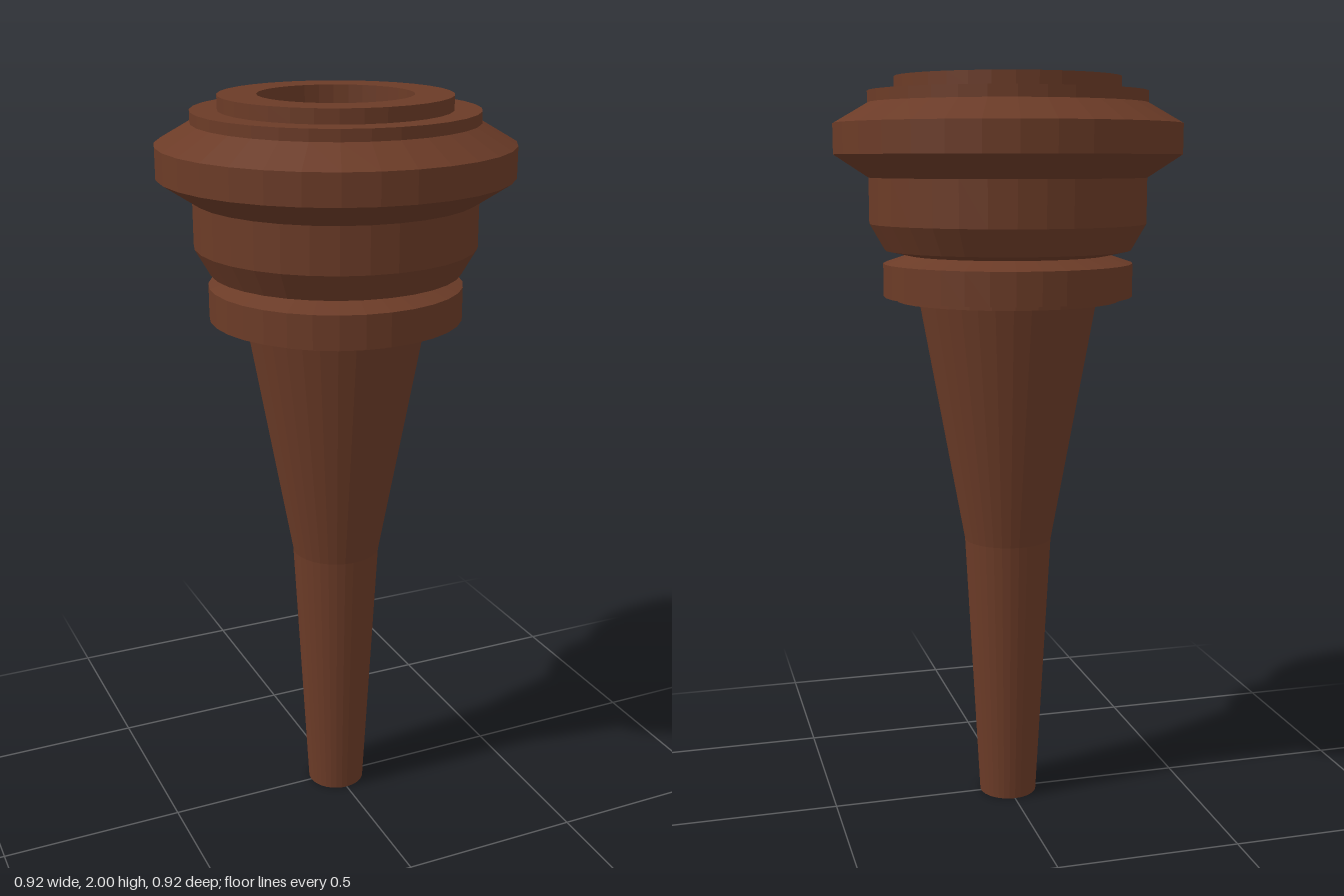
import * as THREE from 'three';

const SIDES = 32;

export function createModel() {
  const group = new THREE.Group();
  const wood = new THREE.MeshStandardMaterial({ color: 0x6b3b27, flatShading: true });

  // Turns a profile of [radius, height] points, listed from bottom to top
  const turn = (name, profile) => {
    const points = profile.map(([r, y]) => new THREE.Vector2(r, y));
    const mesh = new THREE.Mesh(new THREE.LatheGeometry(points, SIDES), wood);
    mesh.name = name;
    group.add(mesh);
  };

  // Tapered stem, closed at the foot
  turn('stem', [[0, 0], [0.08, 0], [0.12, 0.75], [0.24, 1.415]]);

  // Collar with a small step below and a bevelled top
  turn('collar', [
    [0.24, 1.415], [0.3, 1.415], [0.3, 1.427], [0.335, 1.427],
    [0.335, 1.515], [0.27, 1.537],
  ]);

  // Cup body with a chamfered underside
  turn('body', [[0.27, 1.537], [0.33, 1.55], [0.37, 1.62], [0.37, 1.74]]);

  // Wide bevelled rim
  turn('rim', [[0.37, 1.74], [0.462, 1.8], [0.462, 1.88], [0.37, 1.933]]);

  // Stepped cap with a shallow round recess
  turn('cap', [
    [0.37, 1.933], [0.37, 1.963], [0.3, 1.963], [0.3, 2],
    [0.2, 2], [0.2, 1.94], [0, 1.94],
  ]);

  return group;
}
